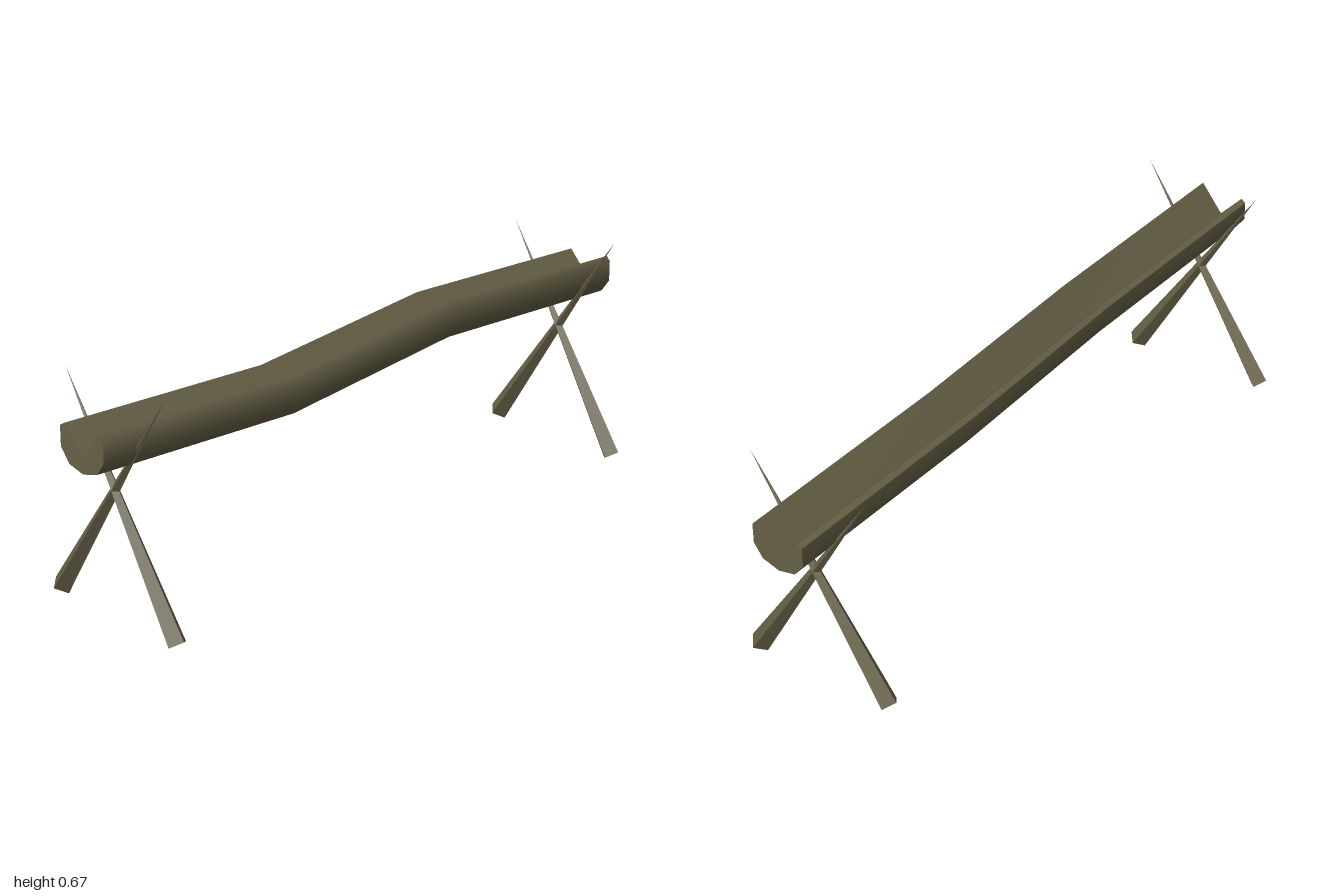
import * as THREE from 'three';
import { toCreasedNormals } from 'three/addons/utils/BufferGeometryUtils.js';

export function createModel() {
  const model = new THREE.Group();
  const wood = new THREE.MeshStandardMaterial({ color: 0x666046 });
  wood.name = 'weathered wood';

  // Trough: half log with a V-shaped channel, extruded in three stretches
  const outline = [
    [0.012, 0.5], [-0.056, 0.576], [-0.07, 0.567], [-0.07, 0.51], [-0.04, 0.47],
    [0.012, 0.456], [0.065, 0.47], [0.092, 0.508], [0.092, 0.568], [0.08, 0.582],
  ].map(([x, y]) => new THREE.Vector2(x, y));
  const log = new THREE.ExtrudeGeometry(new THREE.Shape(outline), {
    depth: 2, steps: 3, bevelEnabled: false,
  });
  log.translate(0, 0, -1);

  // Crook the log by shifting its two inner cross-sections
  const pos = log.attributes.position;
  for (let i = 0; i < pos.count; i++) {
    const z = pos.getZ(i);
    if (Math.abs(z) > 0.9) continue;
    const side = Math.sign(z);
    pos.setXY(i, pos.getX(i) + side * 0.022, pos.getY(i) - side * 0.017);
  }
  const trough = new THREE.Mesh(toCreasedNormals(log, 0.87), wood);
  trough.name = 'trough';
  model.add(trough);

  // Crossed stakes: four-sided spikes running from a thick foot to a sharp tip
  const addStake = (parent, name, foot, tip) => {
    const a = new THREE.Vector3(...foot, 0);
    const axis = new THREE.Vector3(...tip, 0).sub(a);
    const length = axis.length();
    const geometry = new THREE.ConeGeometry(0.03, length, 4).translate(0, length / 2, 0);
    const stake = new THREE.Mesh(toCreasedNormals(geometry, 0.5), wood);
    stake.quaternion.setFromUnitVectors(new THREE.Vector3(0, 1, 0), axis.normalize());
    stake.position.copy(a);
    stake.name = name;
    parent.add(stake);
  };
  for (const [name, z] of [['frontStand', 0.89], ['backStand', -0.875]]) {
    const stand = new THREE.Group();
    stand.name = name;
    stand.position.z = z;
    addStake(stand, 'leftFootStake', [0.221, 0.017], [-0.172, 0.671]);
    addStake(stand, 'rightFootStake', [-0.223, 0.042], [0.203, 0.676]);
    model.add(stand);
  }
  return model;
}
